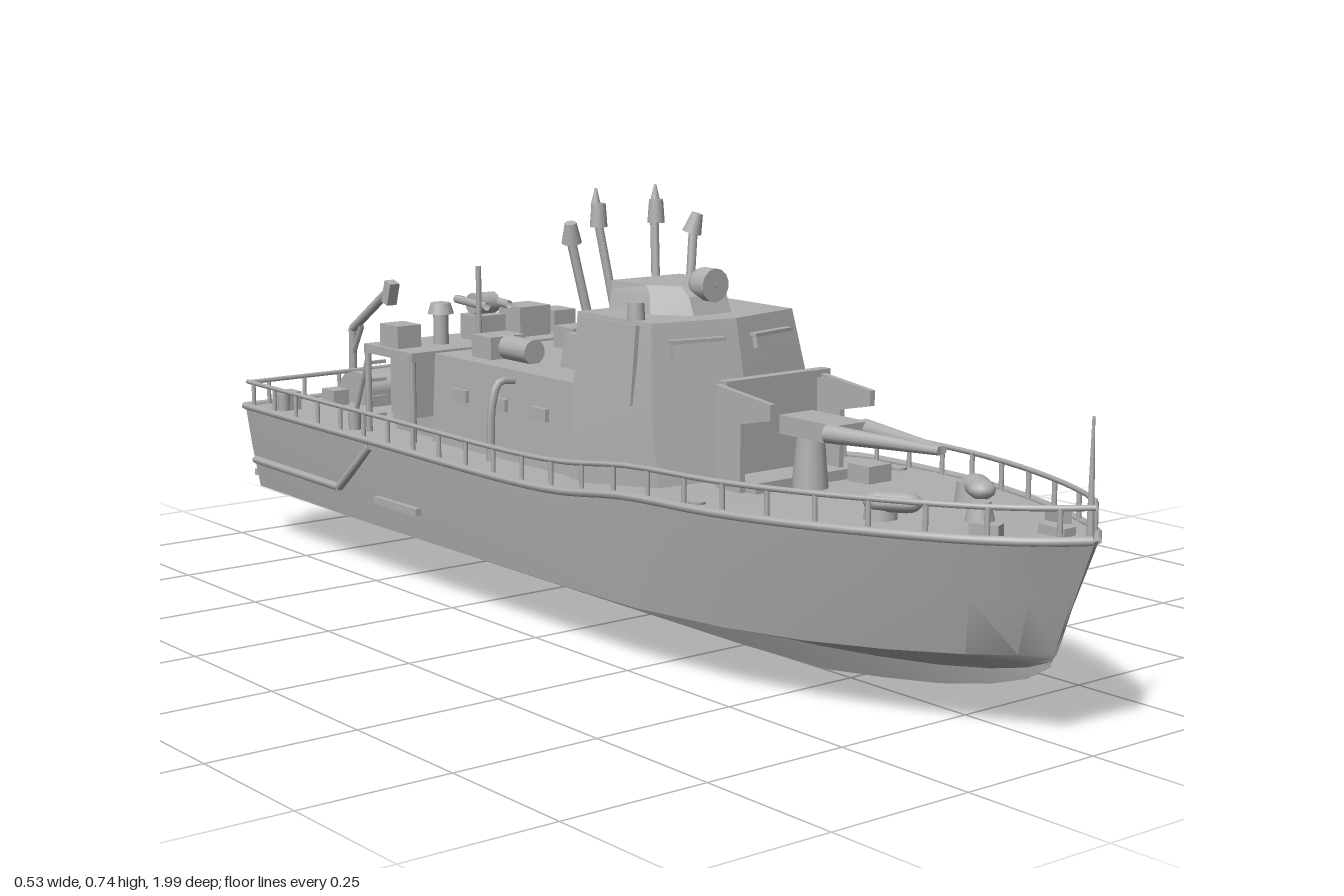
import * as THREE from 'three';
import { toCreasedNormals } from 'three/addons/utils/BufferGeometryUtils.js';

const grey = new THREE.MeshStandardMaterial({ color: 0xb0b0b0, side: THREE.DoubleSide });
grey.name = 'hullGrey';
const V = (x, y, z) => new THREE.Vector3(x, y, z);

// Skin a list of closed rings (each a list of [x, y, z]) and cap both ends
function loft(rings, crease = 0.5) {
  const pos = [], n = rings[0].length;
  const tri = (a, b, c) => pos.push(...a, ...b, ...c);
  for (let i = 0; i < rings.length - 1; i++) for (let j = 0; j < n; j++) {
    const k = (j + 1) % n, a = rings[i], b = rings[i + 1];
    tri(a[j], a[k], b[k]);
    tri(a[j], b[k], b[j]);
  }
  const cap = (r, flip) => {
    const c = [0, 1, 2].map(i => r.reduce((s, p) => s + p[i], 0) / n);
    r.forEach((p, j) => flip ? tri(c, r[(j + 1) % n], p) : tri(c, p, r[(j + 1) % n]));
  };
  cap(rings[0], true);
  cap(rings[rings.length - 1], false);
  // turn the faces outwards
  let vol = 0;
  for (let i = 0; i < pos.length; i += 9)
    vol += V(...pos.slice(i, i + 3)).dot(V(...pos.slice(i + 3, i + 6)).cross(V(...pos.slice(i + 6, i + 9))));
  if (vol < 0) for (let i = 0; i < pos.length; i += 9)
    for (let k = 0; k < 3; k++) [pos[i + 3 + k], pos[i + 6 + k]] = [pos[i + 6 + k], pos[i + 3 + k]];
  const g = new THREE.BufferGeometry();
  g.setAttribute('position', new THREE.Float32BufferAttribute(pos, 3));
  return toCreasedNormals(g, crease);
}

// deck z, half width, y | chine z, half width, y | keel z, y
const stations = [
  [-0.97, 0.25, 0.26, -0.955, 0.23, 0.1, -0.95, 0.01],
  [-0.5, 0.257, 0.26, -0.5, 0.24, 0.1, -0.5, 0],
  [0.05, 0.257, 0.262, 0.05, 0.24, 0.1, 0.05, 0],
  [0.25, 0.256, 0.284, 0.25, 0.235, 0.1, 0.25, 0],
  [0.45, 0.243, 0.29, 0.44, 0.21, 0.104, 0.45, 0.004],
  [0.6, 0.213, 0.295, 0.58, 0.175, 0.108, 0.58, 0.02],
  [0.75, 0.162, 0.3, 0.71, 0.125, 0.114, 0.7, 0.038],
  [0.87, 0.107, 0.304, 0.82, 0.075, 0.122, 0.8, 0.06],
  [0.95, 0.055, 0.308, 0.885, 0.035, 0.128, 0.87, 0.083],
  [0.995, 0.004, 0.31, 0.925, 0.003, 0.132, 0.915, 0.11],
];
const mix = (a, b, t) => a + (b - a) * t;

// Half width and height of the deck edge at a given z
function deckAt(z) {
  let i = 0;
  while (i < stations.length - 2 && stations[i + 1][0] < z) i++;
  const a = stations[i], b = stations[i + 1], t = (z - a[0]) / (b[0] - a[0]);
  return [mix(a[1], b[1], t), mix(a[2], b[2], t)];
}

export function createModel() {
  const model = new THREE.Group();
  model.name = 'patrolBoat';
  const add = (name, geo, x = 0, y = 0, z = 0, rx = 0, ry = 0, rz = 0) => {
    const m = new THREE.Mesh(geo, grey);
    m.name = name;
    m.position.set(x, y, z);
    m.rotation.set(rx, ry, rz);
    model.add(m);
    return m;
  };
  // box given by its base height and height
  const box = (name, w, h, d, x, y, z, rx = 0, ry = 0, rz = 0) =>
    add(name, new THREE.BoxGeometry(w, h, d), x, y + h / 2, z, rx, ry, rz);
  const cyl = (name, r0, r1, h, x, y, z, rx = 0, ry = 0, rz = 0) =>
    add(name, new THREE.CylinderGeometry(r1, r0, h, 14), x, y, z, rx, ry, rz);
  const tube = (name, pts, r, curved = false) => {
    const v = pts.map(p => V(...p));
    if (curved) return add(name, new THREE.TubeGeometry(new THREE.CatmullRomCurve3(v), v.length * 4, r, 6));
    for (let i = 0; i < v.length - 1; i++) add(name, new THREE.TubeGeometry(new THREE.LineCurve3(v[i], v[i + 1]), 1, r, 6));
  };
  // house walls from a half plan per level: [y, [x, z], ...] from bow to stern
  const house = (name, ...levels) => add(name, loft(levels.map(([y, ...p]) =>
    [...p.map(([x, z]) => [x, y, z]), ...p.slice().reverse().map(([x, z]) => [-x, y, z])]), 0.3));

  // Hull
  add('hull', loft(stations.map(([dz, dw, dy, cz, cw, cy, kz, ky]) => {
    const half = [[cw * 0.03, ky, kz], [cw * 0.12, mix(ky, cy, 0.42), mix(kz, cz, 0.3)],
      [cw * 0.4, mix(ky, cy, 0.62), mix(kz, cz, 0.5)], [cw, cy, cz],
      [mix(cw, dw, 0.6), mix(cy, dy, 0.5), mix(cz, dz, 0.45)], [dw, dy, dz]];
    return [...half, ...half.slice().reverse().map(([x, y, z]) => [-x, y, z])];
  }), 0.6));
  box('sternPlatform', 0.44, 0.012, 0.04, 0, 0.115, -0.975);
  box('rudderBracket', 0.17, 0.035, 0.03, 0, 0.065, -0.965);
  box('rudder', 0.014, 0.09, 0.045, 0, 0.03, -0.97);

  for (const s of [-1, 1]) {
    // Gunwale, guard rail and stanchions
    const edge = (lift, inset) => stations.map(([z, w, y]) => [s * Math.max(w - inset, 0), y + lift, z - 0.004]);
    tube('gunwale', edge(0, 0), 0.007, true);
    tube('guardRail', edge(0.047, 0.008), 0.0045, true);
    for (let i = 0; i < 24; i++) {
      const z = -0.95 + i * 0.083, [w, y] = deckAt(z);
      cyl('stanchion', 0.004, 0.004, 0.047, s * (w - 0.008), y + 0.024, z);
    }
    // Side strakes
    tube('sideStrake', [[s * 0.256, 0.25, -0.5], [s * 0.252, 0.155, -0.62], [s * 0.242, 0.155, -0.95]], 0.008);
    box('sideFender', 0.016, 0.013, 0.14, s * 0.25, 0.147, -0.42);

    // Wheelhouse slot windows and side doors
    box('frontWindow', 0.09, 0.018, 0.009, s * 0.08, 0.486, 0.214, -0.2, s * 0.2);
    box('sideWindow', 0.009, 0.022, 0.08, s * 0.16, 0.492, 0.08, 0, 0, s * 0.1);
    box('windowBrow', 0.1, 0.006, 0.014, s * 0.08, 0.507, 0.213, 0, s * 0.2);
    box('wheelhouseDoor', 0.008, 0.13, 0.15, s * 0.164, 0.405, 0.085, 0, 0, s * 0.09);
    for (const z of [-0.1, -0.22, -0.34]) box('cabinPort', 0.008, 0.022, 0.045, s * 0.167, 0.345, z);

    // Aerials with heads
    tube('outerAerial', [[s * 0.1, 0.42, -0.03], [s * 0.112, 0.54, -0.04], [s * 0.133, 0.66, -0.055]], 0.008);
    cyl('outerAerialHead', 0.017, 0.01, 0.035, s * 0.133, 0.666, -0.052, 0.2, 0, -s * 0.2);
    tube('innerAerial', [[s * 0.04, 0.48, -0.04], [s * 0.062, 0.69, -0.075]], 0.008);
    cyl('innerAerialHead', 0.015, 0.012, 0.04, s * 0.062, 0.69, -0.07);
    cyl('innerAerialTip', 0.009, 0.002, 0.03, s * 0.064, 0.72, -0.075);

    // Cowl vents on the cabin roof
    box('ventHead', 0.075, 0.04, 0.06, s * 0.09, 0.42, -0.33);
    cyl('ventBarrel', 0.022, 0.022, 0.09, s * 0.09, 0.44, -0.265, Math.PI / 2);

    // Gun shield wings
    const wing = new THREE.Shape([[0, 0], [0, 0.165], [0.13, 0.15], [0.13, 0.125], [0.06, 0.11], [0.06, 0]].map(p => new THREE.Vector2(...p)));
    add('shieldWing', new THREE.ExtrudeGeometry(wing, { depth: 0.01, bevelEnabled: false }), s * 0.105 - 0.005, 0.29, 0.31, 0, -Math.PI / 2);
    // Tapered gun barrels
    cyl('gunBarrel', 0.015, 0.007, 0.21, s * 0.021, 0.392, 0.585, Math.PI / 2, 0, s * 0.17);

    // Foredeck vents, bollards and cleats
    cyl('foreVent', 0.026, 0.022, 0.035, s * 0.095, 0.312, 0.66);
    const cowl = add('foreVentCowl', new THREE.CapsuleGeometry(0.022, 0.045, 4, 12), s * 0.09, 0.325, 0.68, Math.PI / 2, 0, s * 0.6);
    cowl.scale.z = 0.7;
    box('foreCleat', 0.022, 0.022, 0.045, s * 0.075, 0.3, 0.855, 0, -s * 0.4);
    for (const z of [-0.88, -0.62, 0.38]) cyl('bollard', 0.011, 0.013, 0.035, s * 0.215, 0.275, z);
    box('sternCleat', 0.035, 0.03, 0.045, s * 0.1, 0.26, -0.88);
    box('sternLocker', 0.035, 0.035, 0.04, s * 0.2, 0.26, -0.89);

    // Side grab hoops
    tube('grabHoop', [[s * 0.17, 0.405, -0.17], [s * 0.2, 0.405, -0.17], [s * 0.215, 0.37, -0.17], [s * 0.22, 0.27, -0.17]], 0.007, true);
    // Aft gear platform legs and side cabinets
    box('sideCabinet', 0.05, 0.11, 0.07, s * 0.182, 0.305, -0.47);
    for (const z of [-0.435, -0.585]) tube('platformLeg', [[s * 0.205, 0.26, z], [s * 0.205, 0.42, z]], 0.006);
    tube('platformBrace', [[s * 0.205, 0.4, -0.585], [s * 0.205, 0.27, -0.64]], 0.005);
    for (let i = 0; i < 4; i++) box('ladderRung', 0.04, 0.006, 0.006, s * 0.185, 0.285 + i * 0.033, -0.59);
    box('gearBox', 0.05, 0.045, 0.06, s * 0.175, 0.42, -0.52);
  }
  tube('sternGunwale', [[-0.25, 0.26, -0.974], [0.25, 0.26, -0.974]], 0.007);
  tube('sternRail', [[-0.242, 0.307, -0.965], [0.242, 0.307, -0.965]], 0.0045);
  for (let x = -0.2; x < 0.21; x += 0.08) cyl('sternStanchion', 0.004, 0.004, 0.047, x, 0.284, -0.965);

  // Wheelhouse with a wedge front, flying bridge and aft cabin
  house('wheelhouse', [0.255, [0, 0.27], [0.172, 0.235], [0.178, 0]], [0.4, [0, 0.247], [0.17, 0.21], [0.17, 0]],
    [0.54, [0, 0.217], [0.15, 0.185], [0.152, -0.01]]);
  house('flyingBridge', [0.535, [0.04, 0.16], [0.085, 0.1], [0.088, -0.01]], [0.57, [0.04, 0.145], [0.078, 0.09], [0.076, -0.015]],
    [0.585, [0.036, 0.12], [0.07, 0.07], [0.074, -0.02]]);
  cyl('searchlight', 0.028, 0.028, 0.03, 0, 0.588, 0.15, Math.PI / 2);
  add('searchlightBack', new THREE.SphereGeometry(0.028, 16, 10), 0, 0.588, 0.138);
  cyl('navigationLight', 0.015, 0.013, 0.03, -0.138, 0.553, 0.13);
  house('aftCabin', [0.255, [0.168, 0.01], [0.168, -0.43]], [0.42, [0.16, 0.01], [0.16, -0.43]]);
  house('cabinTrunk', [0.42, [0.075, 0.01], [0.075, -0.165]], [0.48, [0.07, 0.01], [0.07, -0.155]]);

  // Aft gear platform, mast and stepped lockers
  box('engineCasing', 0.3, 0.155, 0.16, 0, 0.26, -0.5);
  box('gearPlatform', 0.42, 0.016, 0.16, 0, 0.408, -0.51);
  box('radioBox', 0.07, 0.06, 0.07, 0.095, 0.42, -0.51);
  box('gunMount', 0.06, 0.05, 0.06, 0, 0.42, -0.51);
  cyl('mountHead', 0.02, 0.02, 0.05, 0, 0.49, -0.51, 0, 0, Math.PI / 2);
  for (const x of [-0.025, 0.025]) tube('mountBarrel', [[x, 0.49, -0.46], [x, 0.495, -0.56]], 0.008);
  cyl('mountPost', 0.014, 0.014, 0.06, -0.1, 0.45, -0.5);
  cyl('postCap', 0.024, 0.018, 0.02, -0.1, 0.49, -0.5);
  tube('aftMast', [[-0.06, 0.42, -0.435], [-0.06, 0.57, -0.435]], 0.005);
  box('upperLocker', 0.22, 0.1, 0.08, 0, 0.26, -0.615);
  box('lowerLocker', 0.16, 0.06, 0.05, 0, 0.26, -0.66);
  box('lockerStep', 0.1, 0.04, 0.06, 0, 0.26, -0.705);
  box('slopedHatch', 0.09, 0.1, 0.012, -0.02, 0.325, -0.587, 0.35);

  // Round-topped stern locker and davit
  box('sternChest', 0.13, 0.03, 0.12, 0, 0.26, -0.86);
  const lid = cyl('sternChestLid', 0.06, 0.06, 0.13, 0, 0.29, -0.86, 0, 0, Math.PI / 2);
  lid.scale.x = 0.55;
  tube('davit', [[0, 0.12, -0.98], [0, 0.39, -0.975], [0, 0.485, -0.83]], 0.009);
  tube('davitStay', [[0, 0.34, -0.975], [0, 0.4, -0.94]], 0.006);
  box('davitHead', 0.022, 0.045, 0.022, 0, 0.455, -0.83, 0.3);

  // Deck gun with shield
  box('shieldPlate', 0.22, 0.17, 0.01, 0, 0.285, 0.31);
  box('shieldTopBar', 0.22, 0.012, 0.02, 0, 0.448, 0.315);
  box('gunBase', 0.2, 0.025, 0.08, 0, 0.28, 0.345);
  cyl('gunPedestal', 0.03, 0.022, 0.1, 0, 0.33, 0.4);
  box('gunCradle', 0.07, 0.03, 0.13, 0, 0.375, 0.43);
  box('ammunitionBox', 0.05, 0.03, 0.05, 0.11, 0.288, 0.42);

  // Foredeck capstan, hatch and jackstaff
  cyl('capstan', 0.024, 0.016, 0.035, 0, 0.312, 0.77);
  box('anchorChock', 0.024, 0.02, 0.05, 0, 0.3, 0.92);
  cyl('jackstaff', 0.006, 0.002, 0.18, 0, 0.395, 0.982);

  return model;
}
